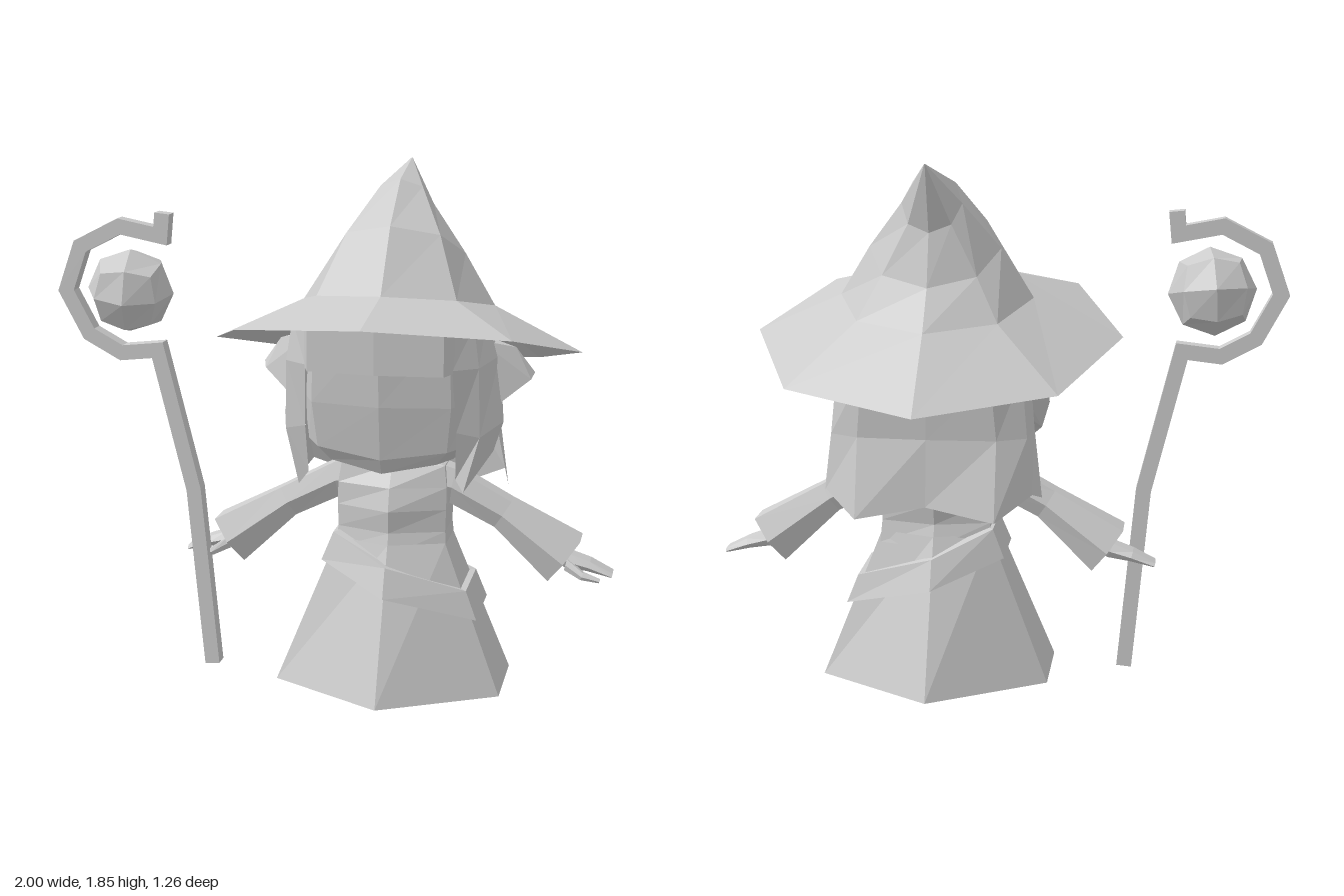
import * as THREE from 'three';
import { ConvexGeometry } from 'three/addons/geometries/ConvexGeometry.js';

const mat = new THREE.MeshStandardMaterial({ color: 0xcccccc, flatShading: true, side: THREE.DoubleSide });

function add(parent, name, geometry) {
  const m = new THREE.Mesh(geometry, mat);
  m.name = name;
  parent.add(m);
  return m;
}

// Skin a list of equal-length cross-sections with quads
function loft(rings, { closed = true, capStart = false, capEnd = false } = {}) {
  const n = rings[0].length, idx = [];
  const at = (r, i) => r * n + (i % n);
  for (let r = 0; r < rings.length - 1; r++)
    for (let i = 0; i < (closed ? n : n - 1); i++) {
      const a = at(r, i), b = at(r, i + 1), c = at(r + 1, i + 1), d = at(r + 1, i);
      idx.push(a, b, c, a, c, d);
    }
  for (let i = 1; i < n - 1; i++) {
    if (capStart) idx.push(at(0, 0), at(0, i + 1), at(0, i));
    const e = rings.length - 1;
    if (capEnd) idx.push(at(e, 0), at(e, i), at(e, i + 1));
  }
  let g = new THREE.BufferGeometry();
  g.setAttribute('position', new THREE.Float32BufferAttribute(rings.flat(2), 3));
  g.setIndex(idx);
  g = g.toNonIndexed();
  g.computeVertexNormals();
  return g;
}

// Hexagon with a corner at the front and at the back
const hex = (y, w, zf, z1, z2, zb) =>
  [[0, y, zf], [w, y, z1], [w, y, z2], [0, y, zb], [-w, y, z2], [-w, y, z1]];

// Six-sided section across an arm, between a top and a bottom point
function armRing(tx, ty, bx, by, hz, cz) {
  return [[0.5, -1], [1, -0.6], [1, 0.6], [0.5, 1], [0, 0.6], [0, -0.6]].map(([t, z]) =>
    [bx + (tx - bx) * t, by + (ty - by) * t, cz + hz * z]);
}

function buildHat(body) {
  const ring = (rx, rz, cz, y, slope) => Array.from({ length: 8 }, (_, i) => {
    const a = i * Math.PI / 4, dz = rz * Math.cos(a);
    return [rx * Math.sin(a), y + slope * dz, cz + dz];
  });
  add(body, 'hat', loft([
    ring(0.65, 0.63, 0, 1.2375, 0.26),
    ring(0.34, 0.335, -0.05, 1.38, 0.22),
    ring(0.23, 0.2, -0.08, 1.555, 0.56),
    ring(0.105, 0.08, -0.148, 1.715, 1.15),
    ring(0.002, 0.002, -0.295, 1.86, 0),
  ]));
}

function buildHead(body) {
  const half = [[0, 1], [0.8, 0.85], [1, 0.35], [1, -0.4], [0.6, -1], [0, -1]];
  const outline = [...half, ...half.slice(1, -1).reverse().map(([x, z]) => [-x, z])];
  const ring = (y, w, zf, zb, drop = 0) => outline.map(([x, z], i) =>
    [x * w, y - (i === 0 ? drop : 0), (zf + zb) / 2 + z * (zf - zb) / 2]);
  add(body, 'head', loft([
    ring(0.87, 0.23, 0.25, -0.12, 0.035),
    ring(0.92, 0.28, 0.28, -0.17, 0.03),
    ring(1.08, 0.3, 0.31, -0.25),
    ring(1.36, 0.29, 0.33, -0.28),
  ], { capStart: true, capEnd: true }));

  const neck = add(body, 'neck', new THREE.CylinderGeometry(0.055, 0.07, 0.13, 6));
  neck.position.set(0, 0.84, -0.03);

  // Fringe across the forehead
  add(body, 'fringe', loft([1.21, 1.33, 1.39].map(y => [
    [-0.255, y, 0.31], [-0.23, y, 0.38], [0, y, 0.4], [0.23, y, 0.38], [0.255, y, 0.31],
  ]), { capStart: true }));

  // Curtain of hair down the back: [topX, topZ, midX, midZ, bottomX, bottomZ, bottomY, topY]
  const cols = [
    [0.33, -0.08, 0.35, -0.11, 0.385, -0.19, 0.7, 1.28],
    [0.32, -0.25, 0.34, -0.27, 0.36, -0.285, 0.735, 1.22],
    [0.22, -0.33, 0.24, -0.32, 0.24, -0.395, 0.66, 1.24],
    [0, -0.34, 0, -0.33, 0, -0.36, 0.7, 1.28],
  ];
  const mirrored = cols.slice(0, -1).reverse().map(c => c.map((v, i) => [0, 2, 4].includes(i) ? -v : v));
  const all = [...cols, ...mirrored];
  add(body, 'backHair', loft([
    all.map(c => [c[4], c[6], c[5]]),
    all.map(c => [c[2], 0.93, c[3]]),
    all.map(c => [c[0], 1.15, c[1]]),
    all.map(c => [c[0] * 0.95, c[7], c[1] * 0.9]),
  ], { closed: false }));
}

function buildSide(side) {
  // Pointed lock of hair beside the face
  add(side, 'sideLock', loft([
    [[0.255, 0.83, 0.25], [0.285, 0.79, 0.27], [0.36, 0.89, 0.07], [0.32, 0.92, 0.06]],
    [[0.26, 1.0, 0.28], [0.335, 0.98, 0.25], [0.39, 0.99, 0.04], [0.31, 1.0, 0.02]],
    [[0.25, 1.22, 0.32], [0.33, 1.22, 0.26], [0.365, 1.21, -0.02], [0.3, 1.21, -0.04]],
    [[0.25, 1.36, 0.31], [0.31, 1.36, 0.25], [0.32, 1.34, 0], [0.28, 1.34, -0.02]],
  ], { capStart: true }));

  add(side, 'ear', new ConvexGeometry([
    [0.3, 1.27, 0.03], [0.3, 1.27, -0.07], [0.3, 1.06, 0.04], [0.3, 1.08, -0.06],
    [0.42, 1.24, -0.03], [0.485, 1.15, -0.05], [0.475, 1.13, -0.02], [0.37, 1.05, 0.04],
  ].map(p => new THREE.Vector3(...p))));

  add(side, 'sleeve', loft([
    armRing(0.14, 0.825, 0.16, 0.675, 0.065, -0.03),
    armRing(0.22, 0.8, 0.2, 0.675, 0.06, -0.03),
    armRing(0.42, 0.69, 0.36, 0.595, 0.06, -0.035),
    armRing(0.665, 0.56, 0.555, 0.41, 0.095, -0.045),
  ]));

  // Hand, fingers and thumb
  add(side, 'hand', loft([
    armRing(0.5, 0.57, 0.48, 0.52, 0.03, -0.05),
    armRing(0.63, 0.505, 0.61, 0.455, 0.045, -0.05),
    armRing(0.7, 0.48, 0.69, 0.445, 0.05, -0.055),
    armRing(0.78, 0.44, 0.775, 0.425, 0.045, -0.055),
  ], { capEnd: true }));
  add(side, 'thumb', loft([
    armRing(0.62, 0.49, 0.61, 0.45, 0.018, -0.015),
    armRing(0.68, 0.45, 0.67, 0.425, 0.016, 0.01),
    armRing(0.74, 0.432, 0.735, 0.42, 0.01, 0.02),
  ], { capEnd: true }));
}

function buildDress(body) {
  add(body, 'bodice', loft([
    hex(0.5, 0.2, 0.135, 0.06, -0.13, -0.19),
    hex(0.58, 0.193, 0.115, 0.05, -0.12, -0.165),
    hex(0.66, 0.195, 0.125, 0.05, -0.12, -0.18),
    hex(0.74, 0.195, 0.1, 0.045, -0.105, -0.165),
    hex(0.815, 0.185, 0.05, 0.03, -0.09, -0.12),
    hex(0.845, 0.1, 0.03, 0.01, -0.07, -0.09),
  ], { capEnd: true }));
  add(body, 'skirt', loft([
    hex(0.008, 0.405, 0.35, 0.13, -0.175, -0.42),
    hex(0.54, 0.195, 0.13, 0.06, -0.12, -0.185),
  ]));

  // Slanted belt, following the skirt at a small distance
  const beltRing = (y, gap) => hex(0, 1, 0.35, 0.13, -0.175, -0.42).map(([x, , z], i) => {
    const h = y - 0.09 * x, t = (h - 0.01) / 0.53;
    const top = [0.13, 0.06, -0.12, -0.185, -0.12, 0.06][i];
    return [x * (0.405 - 0.21 * t + gap), h, (z + (top - z) * t) + Math.sign(z) * gap];
  });
  add(body, 'belt', loft([
    beltRing(0.372, -0.01), beltRing(0.37, 0.02), beltRing(0.472, 0.02), beltRing(0.475, -0.01),
  ]));
}

function buildStaff(group) {
  const path = [[-0.45, 0.015], [-0.51, 0.68], [-0.635, 1.19], [-0.77, 1.175], [-0.89, 1.24], [-0.972, 1.395],
    [-0.915, 1.555], [-0.768, 1.63], [-0.615, 1.6], [-0.607, 1.68]].map(p => new THREE.Vector2(...p));
  const w = 0.027;
  // Square section, mitred at each bend
  const rings = path.map((p, i) => {
    const a = path[Math.max(i - 1, 0)], b = path[Math.min(i + 1, path.length - 1)];
    const t1 = (i ? p.clone().sub(a) : b.clone().sub(p)).normalize();
    const t2 = (i < path.length - 1 ? b.clone().sub(p) : t1.clone()).normalize();
    const t = t1.clone().add(t2).normalize();
    const k = w / Math.max(t.dot(t1), 0.6);
    return [[1, 1], [1, -1], [-1, -1], [-1, 1]].map(([n, z]) =>
      [p.x + t.y * k * n, p.y - t.x * k * n, 0.03 + w * z]);
  });
  add(group, 'staff', loft(rings, { capStart: true, capEnd: true }));

  // Faceted orb: a divided cube pushed out to a sphere
  const g = new THREE.BoxGeometry(1, 1, 1, 2, 2, 2), pos = g.attributes.position, v = new THREE.Vector3();
  for (let i = 0; i < pos.count; i++) {
    v.fromBufferAttribute(pos, i).setLength(0.155);
    pos.setXYZ(i, v.x, v.y, v.z);
  }
  g.computeVertexNormals();
  const orb = add(group, 'orb', g);
  orb.position.set(-0.735, 1.4, 0.035);
  orb.rotation.set(0.2, 0.1, -0.08);
}

export function createModel() {
  const group = new THREE.Group();
  const body = new THREE.Group();
  body.name = 'figure';
  body.position.x = 0.22;
  group.add(body);
  buildHat(body);
  buildHead(body);
  buildDress(body);
  for (const s of [1, -1]) {
    const side = new THREE.Group();
    side.name = s > 0 ? 'leftSide' : 'rightSide';
    side.scale.x = s;
    buildSide(side);
    body.add(side);
  }
  buildStaff(group);
  return group;
}
